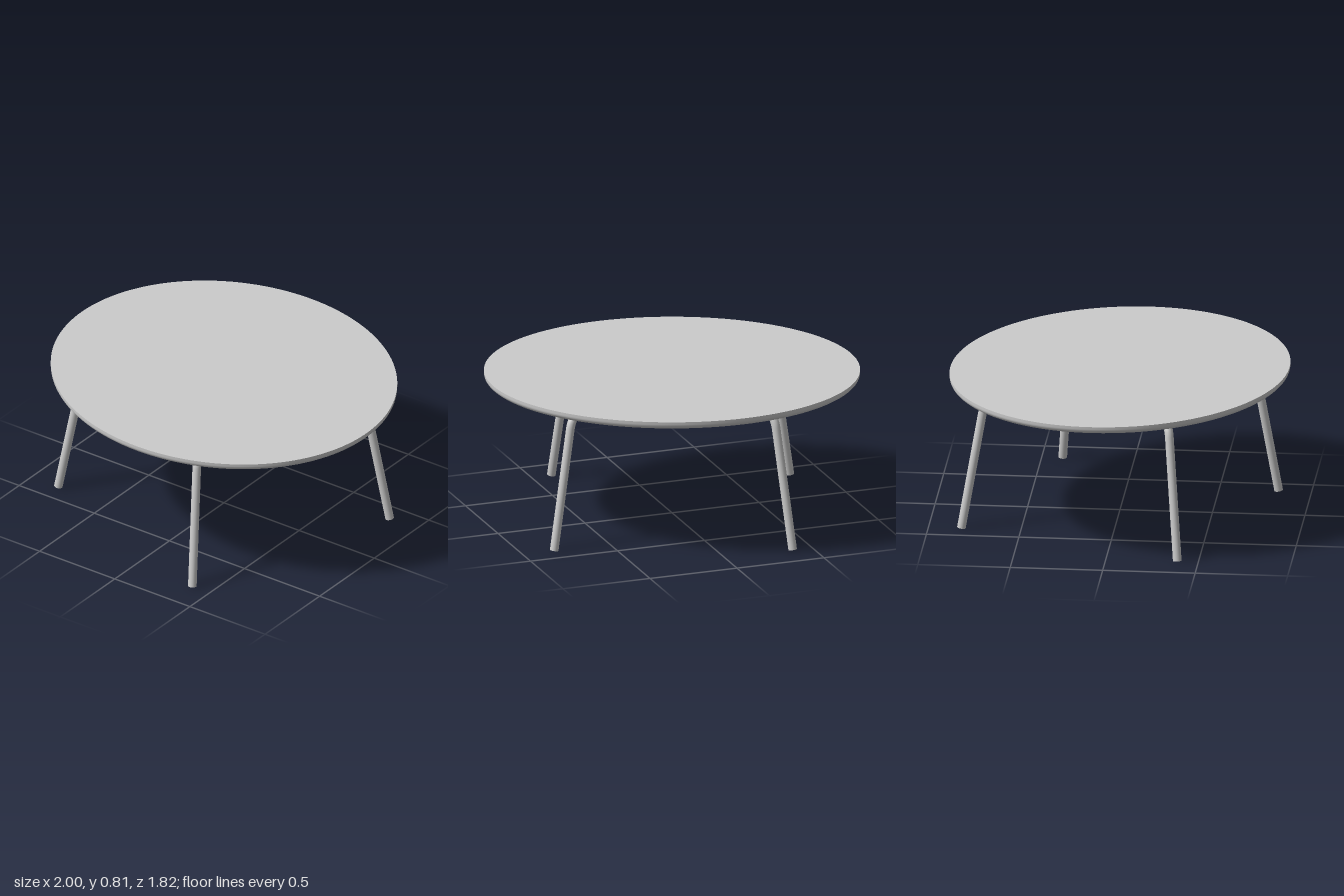
import * as THREE from 'three';

const TUBE_R = 0.0235;

export function createModel() {
  const group = new THREE.Group();
  const material = new THREE.MeshStandardMaterial({ color: 0xcccccc });

  const add = (parent, name, geometry) => {
    const mesh = new THREE.Mesh(geometry, material);
    mesh.name = name;
    parent.add(mesh);
    return mesh;
  };

  // Tabletop: slightly oval disc with a rounded underside edge.
  // Repeated points keep the crease between flat faces and rim sharp.
  const profile = [[0, 0.769], [0.962, 0.769], [0.962, 0.769]];
  for (let i = 1; i <= 6; i++) {
    const a = (i / 6) * Math.PI / 2;
    profile.push([0.962 + 0.038 * Math.sin(a), 0.799 - 0.03 * Math.cos(a)]);
  }
  profile.push([1, 0.813], [1, 0.813], [0, 0.813]);
  const top = add(group, 'tabletop',
    new THREE.LatheGeometry(profile.map(([r, y]) => new THREE.Vector2(r, y)), 128));
  top.scale.set(1.013, 1, 0.895);
  top.rotation.y = -0.352;

  // Leg frame: one bent tube running foot to foot under the top
  const foot = new THREE.Vector3(0.908, 0.004, 0);
  const knee = new THREE.Vector3(0.768, 0.745, 0);
  const bendLow = knee.clone().lerp(foot, 0.11);
  const bendHigh = new THREE.Vector3(0.695, 0.745, 0);
  const mirror = (v) => new THREE.Vector3(-v.x, v.y, v.z);
  const path = new THREE.CurvePath();
  path.add(new THREE.LineCurve3(foot, bendLow));
  path.add(new THREE.QuadraticBezierCurve3(bendLow, knee, bendHigh));
  path.add(new THREE.LineCurve3(bendHigh, mirror(bendHigh)));
  path.add(new THREE.QuadraticBezierCurve3(mirror(bendHigh), mirror(knee), mirror(bendLow)));
  path.add(new THREE.LineCurve3(mirror(bendLow), mirror(foot)));

  const tube = new THREE.TubeGeometry(path, 120, TUBE_R, 20, false);
  const cap = new THREE.CircleGeometry(TUBE_R, 20);

  // Two crossed frames at right angles
  [0, 1].forEach((i) => {
    const frame = new THREE.Group();
    frame.name = 'legFrame' + (i + 1);
    add(frame, 'legTube', tube);
    for (const end of [foot, mirror(foot)]) {
      const inner = end === foot ? knee : mirror(knee);
      const disc = add(frame, 'footCap', cap);
      disc.position.copy(end);
      disc.quaternion.setFromUnitVectors(
        new THREE.Vector3(0, 0, 1), end.clone().sub(inner).normalize());
    }
    frame.rotation.y = THREE.MathUtils.degToRad(25.2) - i * Math.PI / 2;
    group.add(frame);
  });

  return group;
}
